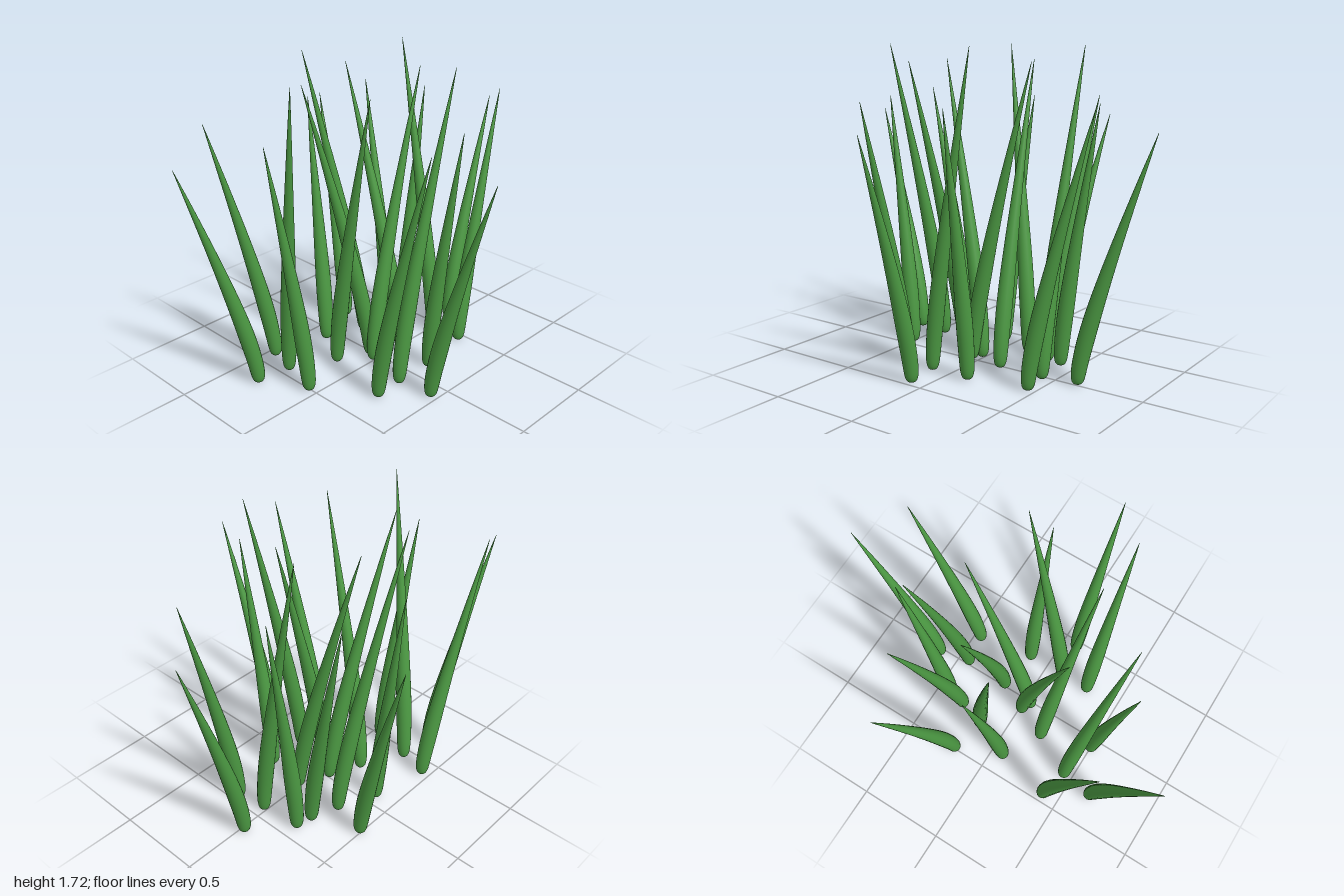
import * as THREE from 'three';
import { mergeVertices } from 'three/addons/utils/BufferGeometryUtils.js';

// Blade radius against fraction of height: rounded foot, plump low part, needle tip
const PROFILE = [
  [0, 0], [0.018, 0.002], [0.028, 0.009], [0.034, 0.021], [0.038, 0.04], [0.041, 0.075],
  [0.043, 0.13], [0.044, 0.19], [0.043, 0.26], [0.040, 0.34], [0.035, 0.44],
  [0.029, 0.55], [0.022, 0.67], [0.015, 0.79], [0.008, 0.9], [0.001, 1],
];

// Each kind of blade: height, then its copies as [baseX, baseZ, tipX, tipZ]
const KINDS = [
  { height: 1.32, blades: [[-0.64, -0.31, -1, -0.4], [0.2, -0.49, 0.34, -0.83], [0.62, -0.02, 1, -0.07], [-0.09, 0.456, -0.09, 0.82]] },
  { height: 1.45, blades: [[-0.4, -0.45, -0.72, -0.53], [0.31, -0.23, 0.43, -0.535], [0.455, 0.195, 0.79, 0.155], [-0.285, 0.256, -0.285, 0.59]] },
  { height: 1.43, blades: [[-0.5, -0.055, -0.69, -0.1], [-0.07, -0.375, 0, -0.555], [0.405, -0.21, 0.6, -0.23], [0.12, 0.255, 0.12, 0.45]] },
  { height: 1.72, blades: [[-0.445, -0.28, -0.597, 0], [0.15, -0.285, -0.105, -0.47], [0.43, 0.02, 0.473, -0.29], [-0.115, 0.25, 0.19, 0.33]] },
  { height: 1.64, blades: [[-0.2, -0.15, -0.29, 0.21], [-0.015, -0.07, -0.355, -0.2], [0.158, 0.01, 0.113, -0.37], [-0.045, -0.015, 0.32, -0.02]] },
];

// Lathed spike bent along a curve that starts upright and leans towards +x
function bladeGeometry(height, lean) {
  const curve = new THREE.QuadraticBezierCurve(
    new THREE.Vector2(0, 0.005), new THREE.Vector2(0, 0.18 * height), new THREE.Vector2(lean, height));
  const profile = new THREE.SplineCurve(PROFILE.map(([r, f]) => new THREE.Vector2(r, f))).getPoints(45);
  profile.forEach((p) => { p.x = Math.max(p.x, 0); p.y = THREE.MathUtils.clamp(p.y, 0, 1); });
  let geo = new THREE.LatheGeometry(profile, 20);
  const pos = geo.attributes.position;
  for (let i = 0; i < pos.count; i++) {
    const f = pos.getY(i);
    const t = Math.min(1, (-0.36 + Math.sqrt(0.1296 + 2.56 * f)) / 1.28);
    const p = curve.getPoint(t), tan = curve.getTangent(t);
    const across = pos.getX(i);
    pos.setXY(i, p.x + across * tan.y, p.y - across * tan.x);
  }
  // Weld the seam so the shading stays smooth all round
  geo.deleteAttribute('uv');
  geo.deleteAttribute('normal');
  geo = mergeVertices(geo, 1e-5);
  geo.computeVertexNormals();
  return geo;
}

export function createModel() {
  const group = new THREE.Group();
  group.name = 'grassTuft';
  const green = new THREE.MeshStandardMaterial({ color: 0x4c9a43 });
  for (const { height, blades } of KINDS) {
    for (const [x, z, tipX, tipZ] of blades) {
      const dx = tipX - x, dz = tipZ - z;
      const blade = new THREE.Mesh(bladeGeometry(height, Math.hypot(dx, dz)), green);
      blade.name = 'grassBlade';
      blade.position.set(x, 0, z);
      blade.rotation.y = Math.atan2(-dz, dx);
      group.add(blade);
    }
  }
  return group;
}
